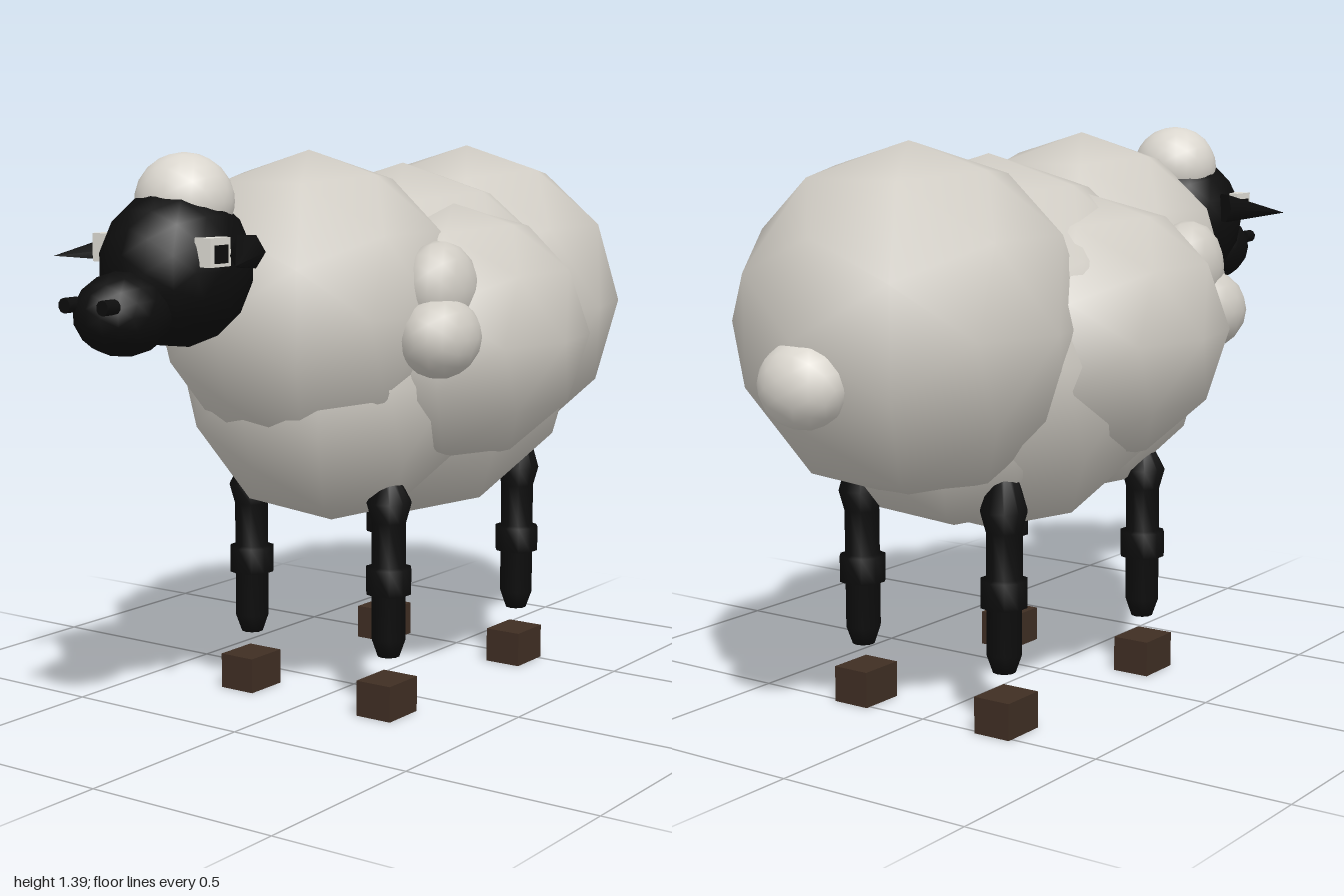
import * as THREE from 'three';

const mat = (name, color) => {
  const m = new THREE.MeshStandardMaterial({ color });
  m.name = name;
  return m;
};

export function createModel() {
  const model = new THREE.Group();
  model.name = 'sheep';
  const wool = mat('wool', 0xd0ccc4);
  const paleWool = mat('pale wool', 0xdad6ce);
  const black = mat('black skin', 0x0d0d0d);
  const white = mat('eye white', 0xe0ded6);
  const brown = mat('hoof brown', 0x3f2e23);

  const add = (name, geo, material, pos = [0, 0, 0]) => {
    const mesh = new THREE.Mesh(geo, material);
    mesh.name = name;
    mesh.position.set(...pos);
    model.add(mesh);
    return mesh;
  };
  // Coarse smooth-shaded ball stretched to three radii
  const blob = (name, material, pos, radii, detail = 1) =>
    add(name, new THREE.IcosahedronGeometry(1, detail).scale(...radii), material, pos);

  // Body fleece
  blob('rumpWool', wool, [0, 0.975, -0.53], [0.42, 0.42, 0.42]);
  blob('shoulderWool', wool, [0, 1.01, 0.19], [0.38, 0.385, 0.38]);
  blob('bellyWool', wool, [0, 0.89, -0.22], [0.465, 0.465, 0.465]);
  blob('chestWool', wool, [0, 0.84, 0.1], [0.37, 0.38, 0.38]);
  blob('rearBellyWool', wool, [0, 0.78, -0.37], [0.32, 0.32, 0.32]);
  blob('tail', paleWool, [0, 0.875, -0.91], [0.11, 0.1, 0.09], 2);

  // Head
  blob('head', black, [0, 1.14, 0.69], [0.165, 0.182, 0.19], 2);
  blob('muzzle', black, [0, 1.05, 0.87], [0.1, 0.095, 0.125], 2);
  blob('topknot', paleWool, [0, 1.288, 0.66], [0.115, 0.11, 0.112], 3);

  // Leg outline with a knee band and tapering ends
  const legShape = (top) => new THREE.LatheGeometry([
    [0.001, 0.143], [0.028, 0.15], [0.044, 0.195], [0.044, 0.305], [0.058, 0.31],
    [0.058, 0.375], [0.044, 0.38], [0.044, 0.49], [0.058, 0.54], [0.02, top], [0.001, top],
  ].map(([r, y]) => new THREE.Vector2(r, y)), 10);

  for (const s of [1, -1]) {
    const side = s > 0 ? 'left' : 'right';

    // Flank and shoulder tufts
    blob(side + 'FlankWool', wool, [s * 0.22, 0.93, -0.12], [0.33, 0.33, 0.4]);
    blob(side + 'LowerTuft', wool, [s * 0.38, 0.96, 0.185], [0.095, 0.1, 0.115], 2);
    blob(side + 'UpperTuft', wool, [s * 0.35, 1.07, 0.14], [0.085, 0.115, 0.11], 2);

    // Ear: flattened cone aimed outward and forward
    const base = new THREE.Vector3(s * 0.165, 1.18, 0.645);
    const tip = new THREE.Vector3(s * 0.265, 1.162, 0.81);
    const dir = tip.clone().sub(base);
    const ear = add(side + 'Ear', new THREE.ConeGeometry(0.043, dir.length(), 6), black);
    ear.position.copy(base).addScaledVector(dir, 0.5);
    ear.quaternion.setFromUnitVectors(new THREE.Vector3(0, 1, 0), dir.normalize());

    // Eye block with a thin pupil plate
    add(side + 'Eye', new THREE.BoxGeometry(0.045, 0.064, 0.07), white, [s * 0.15, 1.184, 0.745]);
    add(side + 'Pupil', new THREE.BoxGeometry(0.006, 0.04, 0.042), black, [s * 0.174, 1.18, 0.745]);

    // Nostril
    const nostril = add(side + 'Nostril', new THREE.CylinderGeometry(0.017, 0.017, 0.04, 10), black,
      [s * 0.055, 1.075, 0.98]);
    nostril.rotation.x = Math.PI / 2;

    // Legs and the separate hooves below them
    for (const [end, z, top] of [['Front', 0.155, 0.61], ['Rear', -0.46, 0.67]]) {
      add(side + end + 'Leg', legShape(top), black, [s * 0.215, 0, z]);
      add(side + end + 'Hoof', new THREE.BoxGeometry(0.1, 0.09, 0.12), brown, [s * 0.215, 0.048, z + 0.007]);
    }
  }
  return model;
}
